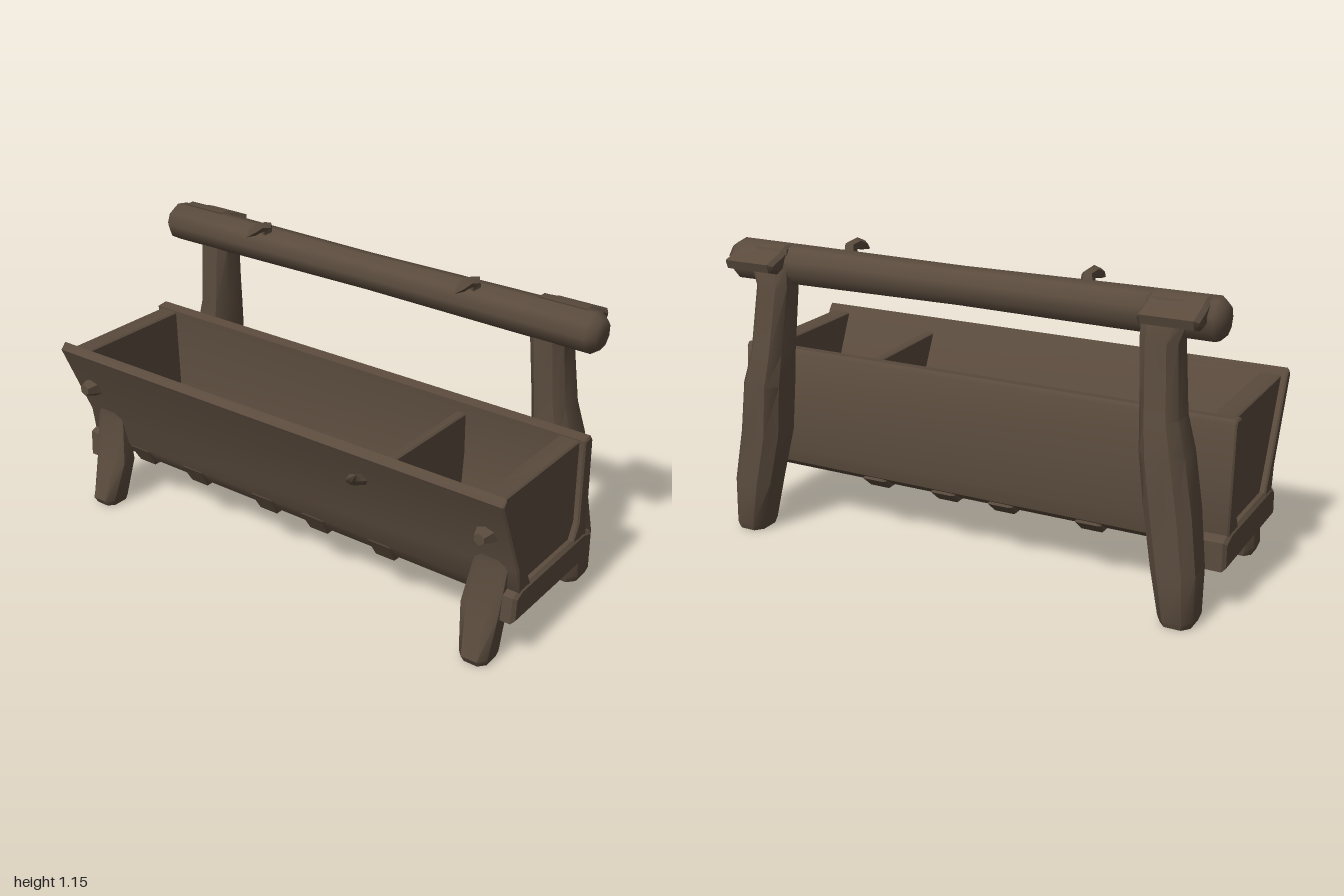
import * as THREE from 'three';
import { toCreasedNormals } from 'three/addons/utils/BufferGeometryUtils.js';

const wood = new THREE.MeshStandardMaterial({ color: 0x5a4b3d, side: THREE.DoubleSide });
wood.name = 'dark wood';

function mesh(name, geometry, crease = 0.6) {
  const m = new THREE.Mesh(toCreasedNormals(geometry, crease), wood);
  m.name = name;
  return m;
}

// Board or shell with a [z, y] outline, running along x
function alongX(name, outline, x0, x1, bevel = 0.006) {
  const shape = new THREE.Shape(outline.map(([z, y]) => new THREE.Vector2(-z, y)));
  const g = new THREE.ExtrudeGeometry(shape, {
    depth: x1 - x0 - 2 * bevel, bevelThickness: bevel, bevelSize: bevel, bevelOffset: -bevel, bevelSegments: 1,
  });
  g.rotateY(Math.PI / 2).translate(x0 + bevel, 0, 0);
  return mesh(name, g, 0.75);
}

// Hewn timber: chamfered square rings [y, centre x, z min, z max, half width]
const RING = [[1, -0.55], [1, 0.55], [0.55, 1], [-0.55, 1], [-1, 0.55], [-1, -0.55], [-0.55, -1], [0.55, -1]];
function limb(name, rings, side) {
  const pos = [], idx = [], n = RING.length;
  for (const [y, cx, z0, z1, rx] of rings)
    for (const [u, v] of RING) pos.push(side * cx + u * rx, y, (z0 + z1) / 2 + v * (z1 - z0) / 2);
  for (let r = 0; r < rings.length - 1; r++)
    for (let i = 0; i < n; i++) {
      const a = r * n + i, b = r * n + (i + 1) % n;
      idx.push(a, a + n, b, b, a + n, b + n);
    }
  const top = (rings.length - 1) * n;
  for (let i = 1; i < n - 1; i++) idx.push(0, i, i + 1, top, top + i + 1, top + i);
  const g = new THREE.BufferGeometry();
  g.setAttribute('position', new THREE.Float32BufferAttribute(pos, 3));
  g.setIndex(idx);
  return mesh(name, g, 0.7);
}

// Broken twig: a bent tube that thins to a point at its tip
function twig(name, points, radius) {
  const curve = new THREE.CatmullRomCurve3(points.map((p) => new THREE.Vector3(...p)));
  const g = new THREE.TubeGeometry(curve, 5, radius, 5);
  const p = g.attributes.position, v = new THREE.Vector3();
  for (let i = 0; i < p.count; i++) {
    const t = Math.floor(i / 6) / 5;
    v.fromBufferAttribute(p, i).lerp(curve.getPointAt(t), t < 1 ? t * 0.45 : 1);
    p.setXYZ(i, v.x, v.y, v.z);
  }
  return mesh(name, g);
}

export function createModel() {
  const model = new THREE.Group();
  model.name = 'trough';

  // Open trough shell: leaning front, upright back, rounded bottom edges
  model.add(alongX('troughShell', [
    [0.385, 0.69], [0.25, 0.38], [0.235, 0.27], [0.185, 0.203], [-0.18, 0.203], [-0.232, 0.24],
    [-0.242, 0.3], [-0.222, 0.68], [-0.21, 0.695],
    [-0.165, 0.69], [-0.175, 0.36], [-0.14, 0.29], [0.15, 0.28], [0.21, 0.4], [0.343, 0.69], [0.362, 0.715],
  ], -0.993, 0.993));

  // Divider inside the trough
  model.add(alongX('divider', [[0.335, 0.66], [0.2, 0.38], [0.15, 0.27], [-0.16, 0.27], [-0.19, 0.65]], 0.475, 0.515));

  for (const s of [1, -1]) {
    const span = (a, b) => (s > 0 ? [a, b] : [-b, -a]);
    // End panel set in slightly between front and back
    model.add(alongX('endPanel', [
      [0.355, 0.69], [0.23, 0.39], [0.22, 0.25], [-0.22, 0.25], [-0.2, 0.685],
    ], ...span(0.89, 0.97)));
    // Cross beam under each end
    model.add(alongX('endBeam', [
      [0.27, 0.18], [0.265, 0.28], [0.22, 0.3], [-0.22, 0.3], [-0.28, 0.28], [-0.28, 0.175],
    ], ...span(0.89, 0.998), 0.012));
    // Splayed front leg
    model.add(limb('frontLeg', [
      [0.008, 0.88, 0.225, 0.335, 0.048], [0.035, 0.88, 0.217, 0.35, 0.057],
      [0.2, 0.87, 0.198, 0.302, 0.075], [0.37, 0.885, 0.212, 0.258, 0.066], [0.42, 0.885, 0.215, 0.262, 0.06],
    ], s));
    // Tall back post
    model.add(limb('backPost', [
      [0.008, 0.875, -0.3, -0.43, 0.055], [0.035, 0.875, -0.288, -0.44, 0.064],
      [0.2, 0.858, -0.272, -0.44, 0.08], [0.4, 0.825, -0.245, -0.427, 0.085],
      [0.6, 0.8, -0.245, -0.435, 0.08], [0.72, 0.78, -0.25, -0.415, 0.068],
      [0.97, 0.76, -0.245, -0.38, 0.067], [1.05, 0.775, -0.25, -0.37, 0.08], [1.11, 0.78, -0.27, -0.34, 0.075],
    ].map(([y, cx, z0, z1, rx]) => [y, cx, z1, z0, rx]), s));
    // Split top of the post, bent backwards
    model.add(alongX('postSplinter', [
      [-0.27, 1.122], [-0.31, 1.122], [-0.35, 1.1], [-0.43, 1.072], [-0.42, 1.04], [-0.37, 1.025], [-0.29, 1.05],
    ], ...span(0.705, 0.915), 0.014));
    // Peg on the front wall
    const peg = mesh('frontPeg', new THREE.CylinderGeometry(0.022, 0.045, 0.06, 6));
    peg.rotation.x = Math.PI / 2;
    peg.position.set(s * 0.9, 0.53, 0.333);
    model.add(peg);
    // Twig on the top bar
    const x = s * 0.47;
    model.add(twig('barTwig', [
      [x, 1.065, -0.26], [x + 0.01, 1.135, -0.235], [x, 1.132, -0.2], [x - 0.015, 1.105, -0.15],
    ], 0.03));
  }

  // Slats wrapped around the bottom
  for (const x of [-0.75, -0.47, -0.12, 0.12, 0.42]) {
    model.add(alongX('bottomSlat', [
      [0.245, 0.27], [0.19, 0.184], [-0.185, 0.184], [-0.24, 0.23], [-0.15, 0.24], [0.15, 0.24],
    ], x - 0.05, x + 0.05, 0.01));
  }

  // Round top bar with worn ends
  const bar = new THREE.LatheGeometry([
    [0, -0.965], [0.052, -0.96], [0.076, -0.935], [0.075, -0.6], [0.07, 0],
    [0.075, 0.6], [0.077, 0.935], [0.054, 0.968], [0, 0.97],
  ].map(([r, y]) => new THREE.Vector2(r, y)), 9);
  bar.rotateZ(-Math.PI / 2).translate(0, 1.045, -0.272);
  model.add(mesh('topBar', bar, 1));

  // Hooked twig on the front wall
  model.add(twig('frontTwig', [
    [0.42, 0.565, 0.305], [0.415, 0.595, 0.39], [0.43, 0.62, 0.425], [0.475, 0.665, 0.45],
  ], 0.022));

  return model;
}
